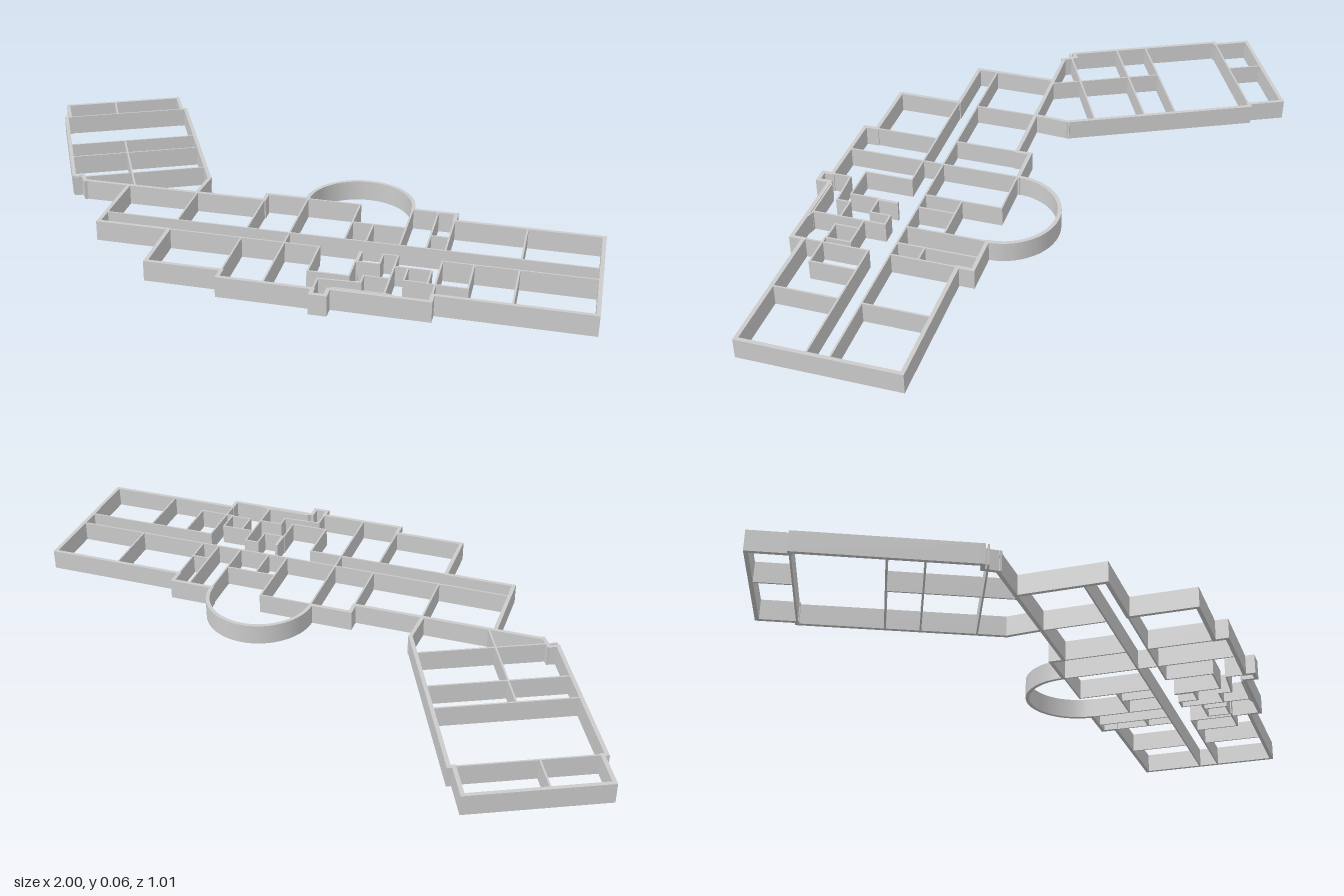
import * as THREE from 'three';

const HEIGHT = 0.058, OUTER = 0.011, INNER = 0.005;
const material = new THREE.MeshStandardMaterial({ color: 0xcccccc, side: THREE.DoubleSide });

// Straight walls along a polyline of [x, z] points, overlapping at the corners
function addWalls(parent, name, thickness, paths) {
  const group = new THREE.Group();
  group.name = name;
  for (const path of paths) {
    for (let i = 0; i + 1 < path.length; i++) {
      const [x0, z0] = path[i], [x1, z1] = path[i + 1];
      const length = Math.hypot(x1 - x0, z1 - z0);
      const wall = new THREE.Mesh(new THREE.BoxGeometry(length + thickness, HEIGHT, thickness), material);
      wall.name = name + 'Segment';
      wall.position.set((x0 + x1) / 2, HEIGHT / 2, (z0 + z1) / 2);
      wall.rotation.y = -Math.atan2(z1 - z0, x1 - x0);
      group.add(wall);
    }
  }
  parent.add(group);
}

// Half-round wall bulging towards -z
function addCurvedWall(parent, cx, cz, radius) {
  const shape = new THREE.Shape();
  shape.absarc(0, 0, radius + OUTER / 2, 0, Math.PI, false);
  shape.absarc(0, 0, radius - OUTER / 2, Math.PI, 0, true);
  const geometry = new THREE.ExtrudeGeometry(shape, { depth: HEIGHT, bevelEnabled: false, curveSegments: 24 });
  geometry.rotateX(-Math.PI / 2);
  const mesh = new THREE.Mesh(geometry, material);
  mesh.name = 'roundBayWall';
  mesh.position.set(cx, 0, cz);
  parent.add(mesh);
}

function buildMainBlock() {
  const block = new THREE.Group();
  block.name = 'mainBlock';
  block.rotation.y = THREE.MathUtils.degToRad(17.3);

  addWalls(block, 'mainOuterWall', OUTER, [
    // back, left of the round bay
    [[-0.594, 0.008], [-0.05, 0.006], [-0.05, -0.033], [0.07, -0.033]],
    // back right, right end and front
    [[0.373, -0.036], [0.496, -0.036], [0.496, 0.006], [0.903, 0.006], [0.903, 0.433],
      [0.498, 0.433], [0.498, 0.467], [0.239, 0.467], [0.239, 0.502], [0.201, 0.502], [0.201, 0.475],
      [-0.05, 0.475], [-0.05, 0.438], [-0.256, 0.438], [-0.256, 0.25], [-0.46, 0.25], [-0.46, 0.008]],
  ]);
  addCurvedWall(block, 0.221, -0.036, 0.152);

  // Corridor sides
  addWalls(block, 'corridorWall', INNER, [
    [[-0.46, 0.19], [0.903, 0.19]],
    [[-0.256, 0.25], [0.167, 0.25]],
    [[0.497, 0.251], [0.903, 0.251]],
  ]);

  // Straight cross walls: [x, z start, z end]
  const cross = [
    [-0.25, 0.008, 0.19], [-0.05, -0.033, 0.19], [0.07, -0.033, 0.475],
    [0.373, -0.036, 0.19], [0.445, -0.036, 0.19], [0.496, 0, 0.19], [0.697, 0.006, 0.19],
    [-0.05, 0.25, 0.438], [0.697, 0.251, 0.433], [0.282, 0.084, 0.19],
  ];
  addWalls(block, 'crossWall', INNER, cross.map(([x, a, b]) => [[x, a], [x, b]]));

  addWalls(block, 'roomPartition', INNER, [
    [[0.07, -0.03], [0.223, -0.03], [0.223, 0.19]],
    [[0.223, 0.084], [0.373, 0.084]],
    [[0.445, 0.113], [0.496, 0.113]],
    // stair and service rooms
    [[0.167, 0.25], [0.167, 0.388], [0.276, 0.388], [0.276, 0.306]],
    [[0.34, 0.306], [0.34, 0.249], [0.38, 0.249], [0.38, 0.455]],
    [[0.282, 0.306], [0.34, 0.306]],
    [[0.201, 0.475], [0.201, 0.421], [0.312, 0.415], [0.312, 0.377], [0.38, 0.377]],
    [[0.24, 0.467], [0.25, 0.458], [0.387, 0.457], [0.42, 0.467]],
    [[0.416, 0.377], [0.416, 0.309], [0.477, 0.309], [0.477, 0.377], [0.416, 0.377]],
    [[0.38, 0.309], [0.416, 0.309]],
    [[0.477, 0.38], [0.58, 0.38], [0.58, 0.251]],
    [[0.497, 0.251], [0.497, 0.433]],
  ]);
  addWalls(block, 'thickPartition', 0.009, [[[0.28, 0.253], [0.28, 0.306]]]);
  return block;
}

function buildSideWing() {
  const wing = new THREE.Group();
  wing.name = 'sideWing';
  wing.rotation.y = THREE.MathUtils.degToRad(-47.5);

  addWalls(wing, 'wingOuterWall', OUTER, [
    [[-0.102, 0.23], [-0.191, 0.181], [-0.752, 0.181], [-0.752, 0.194], [-0.857, 0.194],
      [-0.857, 0.562], [-0.752, 0.562], [-0.752, 0.573], [-0.285, 0.573], [-0.285, 0.548], [-0.243, 0.542]],
  ]);
  addWalls(wing, 'wingPartition', INNER, [
    ...[-0.752, -0.52, -0.425, -0.272].map((x) => [[x, 0.181], [x, 0.573]]),
    [[-0.857, 0.406], [-0.752, 0.406]],
    [[-0.52, 0.402], [-0.18, 0.402]],
  ]);
  return wing;
}

export function createModel() {
  const model = new THREE.Group();
  model.name = 'floorPlanWalls';
  model.add(buildMainBlock(), buildSideWing());
  return model;
}
